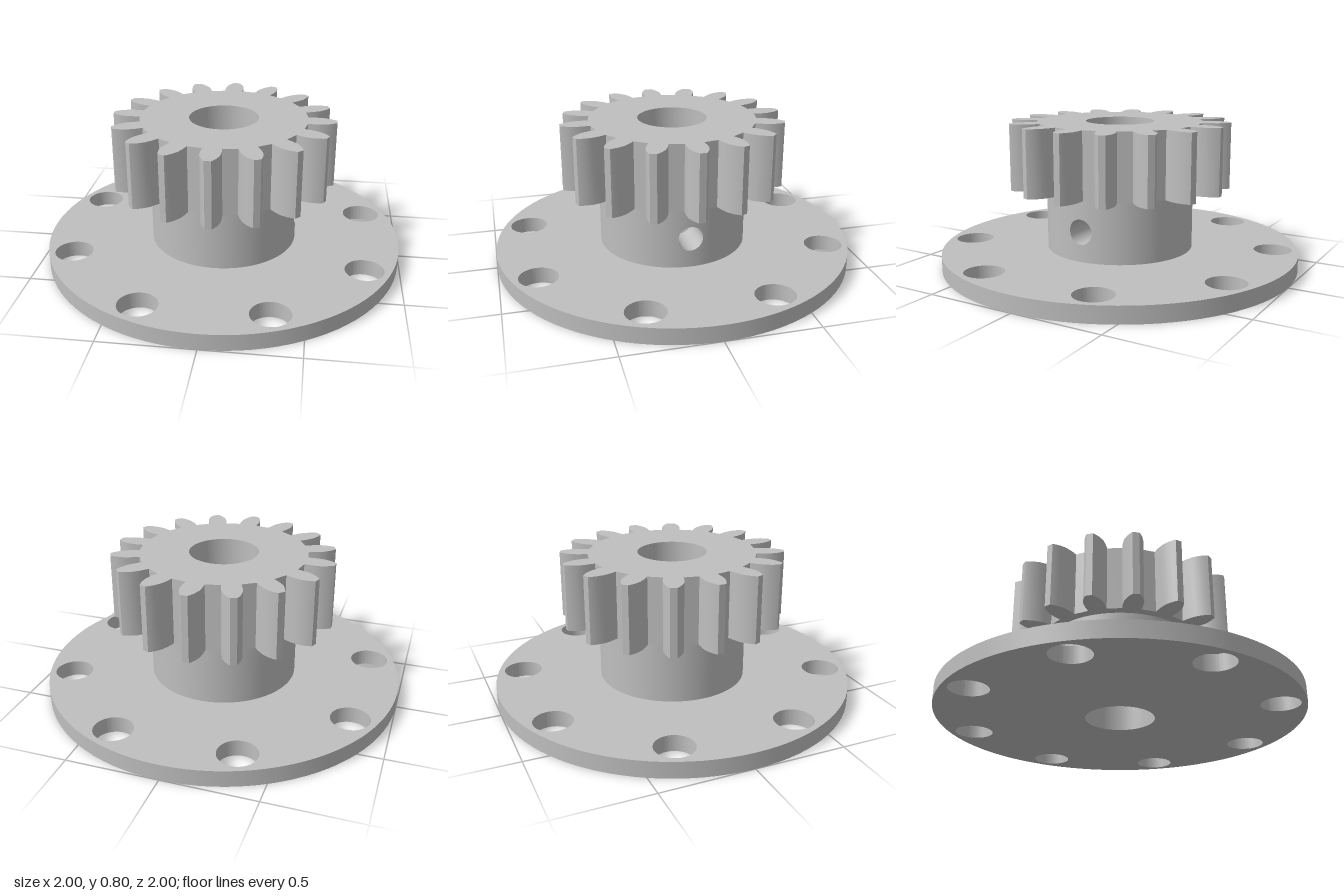
import * as THREE from 'three';
import { toCreasedNormals } from 'three/addons/utils/BufferGeometryUtils.js';
import { ParametricGeometry } from 'three/addons/geometries/ParametricGeometry.js';

const BORE = 0.19, HUB = 0.41;
const FLANGE_TOP = 0.09, GEAR_BOTTOM = 0.435, GEAR_TOP = 0.8;
const SCREW_R = 0.068, SCREW_Y = 0.253;
const PATCH = 0.14; // half width of the wall patch around the screw hole

const circle = (x, y, r) => new THREE.Path().absarc(x, y, r, 0, Math.PI * 2, true);

// Extrude a plan shape upwards between two heights
function plate(shape, y0, y1) {
  const geo = new THREE.ExtrudeGeometry(shape, { depth: y1 - y0, bevelEnabled: false, curveSegments: 48 });
  geo.rotateX(-Math.PI / 2).translate(0, y0, 0);
  return toCreasedNormals(geo, 0.55);
}

// Cylinder wall away from the screw hole
function wall(R, inside) {
  const gap = Math.asin(PATCH / R);
  return new ParametricGeometry((u, v, p) => {
    const a = gap + (inside ? 1 - u : u) * 2 * (Math.PI - gap);
    p.set(R * Math.cos(a), FLANGE_TOP + v * (GEAR_BOTTOM - FLANGE_TOP), -R * Math.sin(a));
  }, 72, 1);
}

// Curved wall patch, from the round screw hole out to a rectangle
function holePatch(R, inside) {
  return new ParametricGeometry((u, v, p) => {
    const t = (inside ? -u : u) * Math.PI * 2;
    const c = Math.cos(t), s = Math.sin(t), m = Math.max(Math.abs(c), Math.abs(s));
    const height = s > 0 ? GEAR_BOTTOM - SCREW_Y : SCREW_Y - FLANGE_TOP;
    const z = THREE.MathUtils.lerp(SCREW_R * c, PATCH * c / m, v);
    const y = SCREW_Y + THREE.MathUtils.lerp(SCREW_R * s, height * s / m, v);
    p.set(Math.sqrt(R * R - z * z), y, z);
  }, 48, 8);
}

// Radial screw hole, running from the bore to the hub's outside
function screwTunnel() {
  return new ParametricGeometry((u, v, p) => {
    const z = SCREW_R * Math.cos(u * Math.PI * 2), y = SCREW_R * Math.sin(u * Math.PI * 2);
    const x0 = Math.sqrt(BORE * BORE - z * z), x1 = Math.sqrt(HUB * HUB - z * z);
    p.set(x0 + v * (x1 - x0), SCREW_Y + y, z);
  }, 48, 1);
}

function flangeShape() {
  const shape = new THREE.Shape().absarc(0, 0, 1, 0, Math.PI * 2, false);
  shape.holes.push(circle(0, 0, BORE));
  for (let i = 0; i < 8; i++) {
    const a = (i + 0.5) * Math.PI / 4;
    shape.holes.push(circle(0.863 * Math.cos(a), 0.863 * Math.sin(a), 0.105));
  }
  return shape;
}

function gearShape() {
  // One tooth flank: distance out, half width
  const flank = [[0.457, 0.05], [0.5, 0.053], [0.54, 0.051], [0.575, 0.04], [0.6, 0.027], [0.613, 0.018]];
  const tooth = [...flank.map(([r, w]) => [r, -w]), ...flank.slice().reverse()];
  const pts = [];
  for (let i = 0; i < 16; i++) {
    const a = i * Math.PI / 8;
    for (const [r, w] of tooth) pts.push(new THREE.Vector2(r, w).rotateAround(new THREE.Vector2(), a));
  }
  const shape = new THREE.Shape(pts);
  shape.holes.push(circle(0, 0, BORE));
  return shape;
}

export function createModel() {
  const group = new THREE.Group();
  const steel = new THREE.MeshStandardMaterial({ color: 0xbfbfbf });
  steel.name = 'plain grey';

  const add = (name, geo, parent = group) => {
    const mesh = new THREE.Mesh(geo, steel);
    mesh.name = name;
    parent.add(mesh);
  };

  add('flange', plate(flangeShape(), 0, FLANGE_TOP));
  add('gear', plate(gearShape(), GEAR_BOTTOM, GEAR_TOP));

  const hub = new THREE.Group();
  hub.name = 'hub';
  group.add(hub);
  add('hubWall', wall(HUB, false), hub);
  add('hubWallAroundScrewHole', holePatch(HUB, false), hub);
  add('boreWall', wall(BORE, true), hub);
  add('boreWallAroundScrewHole', holePatch(BORE, true), hub);
  add('screwHole', screwTunnel(), hub);

  return group;
}
